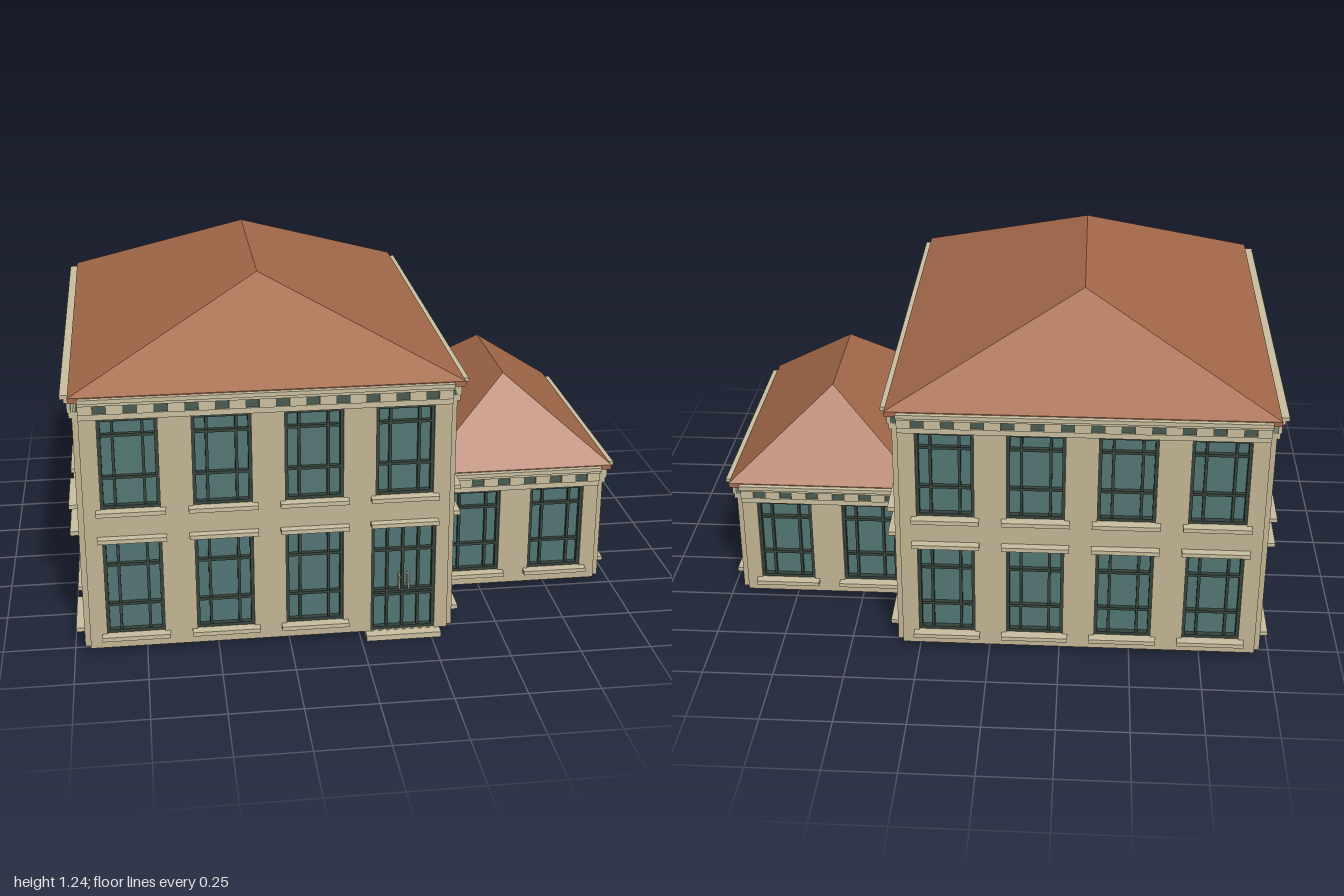
import * as THREE from 'three';

const mat = (color) => new THREE.MeshStandardMaterial({ color, side: THREE.DoubleSide });
const WALL = mat(0xc4b694), TRIM = mat(0xcabfa0), GLASS = mat(0x527674);
const FRAME = mat(0x36443c), DARK = mat(0x4a5c50), ROOF = mat(0xa4694a), METAL = mat(0xb5ad95);
const THICK = 0.045, BASE = 0.02;

// Box given by its limits on each axis
function box(parent, name, material, x0, x1, y0, y1, z0, z1) {
  const m = new THREE.Mesh(new THREE.BoxGeometry(x1 - x0, y1 - y0, z1 - z0), material);
  m.position.set((x0 + x1) / 2, (y0 + y1) / 2, (z0 + z1) / 2);
  m.name = name;
  parent.add(m);
  return m;
}

// Recessed glazing with frame and glazing bars; wall face is z = 0
function addWindow(parent, o) {
  const g = new THREE.Group();
  g.name = o.door ? 'door' : 'window';
  const x0 = o.x - o.w / 2, x1 = o.x + o.w / 2, f = 0.011;
  box(g, 'glass', GLASS, x0, x1, o.y0, o.y1, -0.036, -0.028);
  for (const x of [x0, x1 - f])
    box(g, 'frameSide', FRAME, x, x + f, o.y0, o.y1, -0.03, -0.008);
  for (const y of [o.y0, o.y1 - f])
    box(g, 'frameRail', FRAME, x0, x1, y, y + f, -0.03, -0.008);
  for (const x of o.door ? [-0.055, 0, 0.055] : [-0.05, 0.05])
    box(g, 'verticalBar', FRAME, o.x + x - 0.005, o.x + x + 0.005, o.y0, o.y1, -0.03, -0.014);
  for (const y of o.bars)
    box(g, 'crossBar', FRAME, x0, x1, y - 0.005, y + 0.005, -0.03, -0.012);
  if (o.door) {
    box(g, 'doorstep', TRIM, o.x - 0.133, o.x + 0.133, 0, BASE, -0.02, 0.037);
    for (const s of [-1, 1])
      box(g, 'doorHandle', METAL, o.x + s * 0.016 - 0.003, o.x + s * 0.016 + 0.003, 0.19, 0.24, -0.012, 0.022);
  } else {
    box(g, 'sill', TRIM, o.x - 0.118, o.x + 0.118, o.y0 - 0.015, o.y0, -0.02, 0.03);
  }
  if (o.lintel)
    box(g, 'lintel', TRIM, o.x - 0.118, o.x + 0.118, o.y1 + 0.003, o.y1 + 0.018, -0.01, 0.03);
  parent.add(g);
}

// Stepped cornice with a row of dark gaps between blocks
function addCornice(parent, half, top) {
  const g = new THREE.Group();
  g.name = 'cornice';
  box(g, 'corniceBand', TRIM, -half, half, top, top + 0.02, -0.02, 0.01);
  box(g, 'friezeRecess', DARK, -half, half, top + 0.02, top + 0.054, -0.02, 0.004);
  const n = Math.round((2 * half - 0.04) / 0.098), step = (2 * half - 0.04) / n, gap = 0.044;
  for (let i = 0; i <= n; i++) {
    const a = i === 0 ? -half : -half + 0.02 + (i - 0.5) * step + gap / 2;
    const b = i === n ? half : -half + 0.02 + (i + 0.5) * step - gap / 2;
    box(g, 'friezeBlock', TRIM, a, b, top + 0.02, top + 0.054, -0.01, 0.015);
  }
  box(g, 'corniceStep', TRIM, -half, half, top + 0.054, top + 0.067, -0.02, 0.024);
  box(g, 'gutter', TRIM, -half, half, top + 0.067, top + 0.081, -0.02, 0.037);
  parent.add(g);
}

// One wall panel with openings, centred at local x = 0, facing local +z
function facade(name, length, top, openings, x, z, turn, notch) {
  const g = new THREE.Group(), half = length / 2, s = new THREE.Shape();
  g.name = name;
  s.moveTo(-half, BASE);
  if (notch) {
    s.lineTo(-notch.half, BASE).lineTo(-notch.half, notch.y);
    s.lineTo(notch.half, notch.y).lineTo(notch.half, BASE);
  }
  s.lineTo(half, BASE).lineTo(half, top + 0.07).lineTo(-half, top + 0.07).closePath();
  for (const o of openings) {
    const a = o.x - o.w / 2, b = o.x + o.w / 2, y0 = Math.max(o.y0, BASE + 0.001);
    const h = new THREE.Path();
    h.moveTo(a, y0).lineTo(a, o.y1).lineTo(b, o.y1).lineTo(b, y0).closePath();
    s.holes.push(h);
    addWindow(g, o);
  }
  const geo = new THREE.ExtrudeGeometry(s, { depth: THICK, bevelEnabled: false });
  const wall = new THREE.Mesh(geo.translate(0, 0, -THICK), WALL);
  wall.name = 'wall';
  g.add(wall);
  addCornice(g, half, top);
  g.position.set(x, 0, z);
  g.rotation.y = turn;
  return g;
}

// Hip roof with a short eave fascia and a ridge along z
function hipRoof(name, cx, hx, hz, eave, ridgeY, ridgeHalf) {
  const p = [];
  const ring = (y) => [[cx - hx, y, hz], [cx + hx, y, hz], [cx + hx, y, -hz], [cx - hx, y, -hz]];
  const low = ring(eave - 0.018), up = ring(eave);
  const F = [cx, ridgeY, ridgeHalf], B = [cx, ridgeY, -ridgeHalf];
  const tri = (...v) => v.forEach((q) => p.push(...q));
  const quad = (a, b, c, d) => { tri(a, b, c); tri(a, c, d); };
  for (let i = 0; i < 4; i++) {
    const j = (i + 1) % 4;
    quad(low[i], low[j], up[j], up[i]);
  }
  tri(up[0], up[1], F);
  quad(up[1], up[2], B, F);
  tri(up[2], up[3], B);
  quad(up[3], up[0], F, B);
  const geo = new THREE.BufferGeometry();
  geo.setAttribute('position', new THREE.Float32BufferAttribute(p, 3));
  geo.computeVertexNormals();
  const m = new THREE.Mesh(geo, ROOF);
  m.name = name;
  return m;
}

const row = (count, step) => Array.from({ length: count }, (_, i) => (i - (count - 1) / 2) * step);
const upper = (x) => ({ x, w: 0.2, y0: 0.543, y1: 0.87, bars: [0.807, 0.655] });
const lower = (x) => ({ x, w: 0.2, y0: 0.073, y1: 0.426, bars: [0.33, 0.18], lintel: true });
const wing = (x) => ({ x, w: 0.2, y0: 0.073, y1: 0.4, bars: [0.33, 0.18] });
const entrance = (x) => ({
  x, w: 0.226, y0: BASE, y1: 0.43, bars: [0.155, 0.172, 0.328], lintel: true, door: true,
});

export function createModel() {
  const house = new THREE.Group();
  house.name = 'house';
  const H = Math.PI / 2, cx = -0.3175, top = 0.872;
  const four = row(4, 0.3123), five = row(5, 0.3135);

  // Two-storey main block; the right wall opens into the wing
  const main = new THREE.Group();
  main.name = 'mainBlock';
  main.add(
    facade('mainFront', 1.255, top,
      [...four.map(upper), ...four.slice(0, 3).map(lower), entrance(four[3])], cx, 0.8, 0),
    facade('mainBack', 1.255, top, [...four.map(upper), ...four.map(lower)], cx, -0.8, Math.PI),
    facade('mainLeft', 1.56, top,
      [...five.map(upper), ...[five[0], five[4]].map(lower)], 0.33, 0, H, { half: 0.46, y: 0.45 }),
    facade('mainRight', 1.56, top, [...five.map(upper), ...five.map(lower)], -0.965, 0, -H),
    hipRoof('mainRoof', -0.3125, 0.6625, 0.82, 0.956, 1.235, 0.37),
  );

  // Single-storey side wing
  const side = new THREE.Group();
  side.name = 'sideWing';
  const wx = 0.6225, two = row(2, 0.314), wTop = 0.402;
  side.add(
    facade('wingFront', 0.625, wTop, two.map(wing), wx, 0.49, 0),
    facade('wingBack', 0.625, wTop, two.map(wing), wx, -0.49, Math.PI),
    facade('wingEnd', 0.94, wTop, row(3, 0.3135).map(wing), 0.957, 0, H),
    hipRoof('wingRoof', 0.62, 0.355, 0.508, 0.486, 0.765, 0.23),
  );

  house.add(main, side);
  return house;
}
